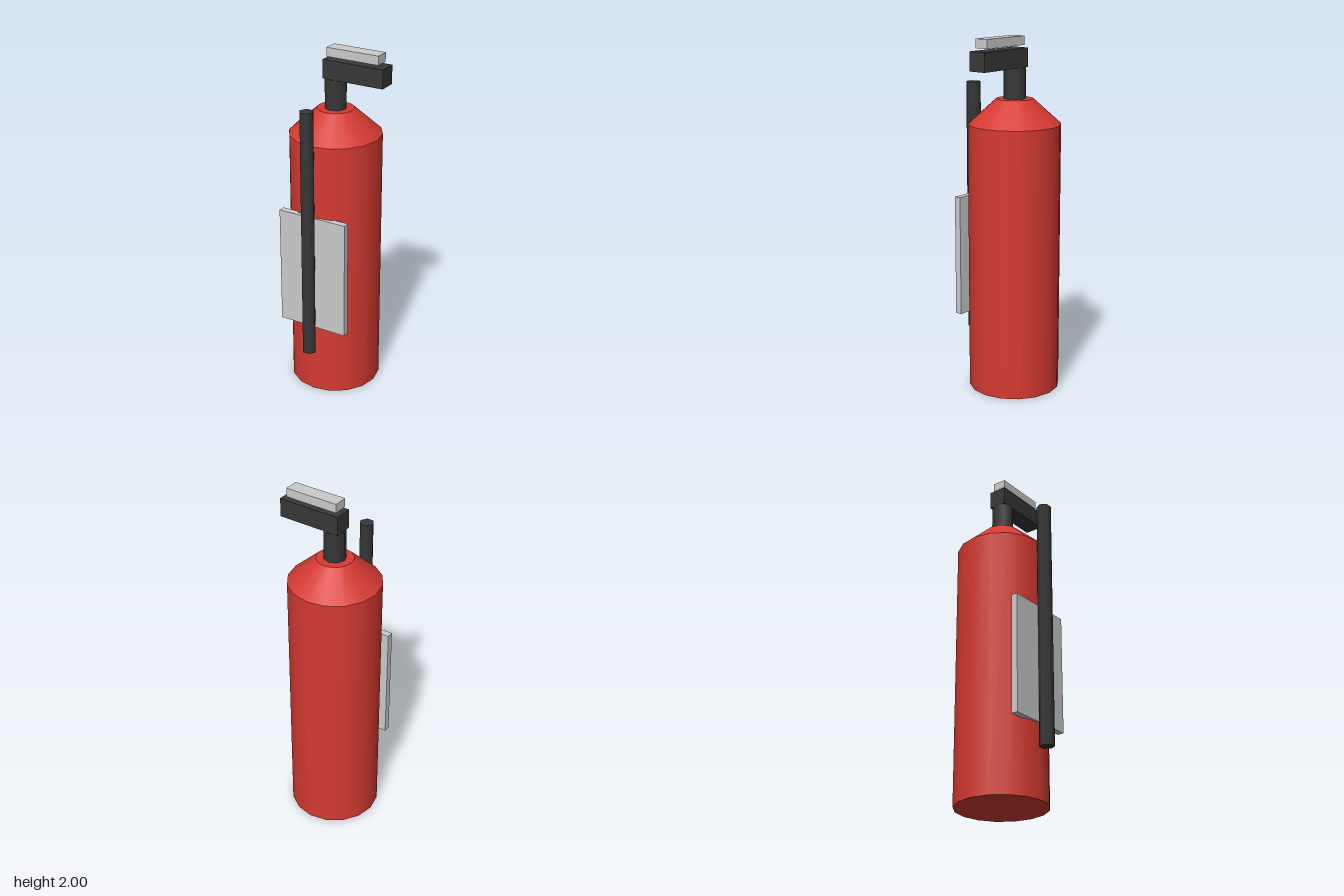
import * as THREE from 'three';

export function createModel() {
  const model = new THREE.Group();
  const red = new THREE.MeshStandardMaterial({ color: 0xd63a32 });
  const dark = new THREE.MeshStandardMaterial({ color: 0x383838 });
  const grey = new THREE.MeshStandardMaterial({ color: 0xcccccc });

  // Axis of the tank
  const CX = -0.027, CZ = -0.04;

  const add = (name, geometry, material, x, y, z) => {
    const mesh = new THREE.Mesh(geometry, material);
    mesh.name = name;
    mesh.position.set(x, y, z);
    model.add(mesh);
    return mesh;
  };

  // Upright cylinder or cone between two heights
  const column = (name, material, rTop, rBottom, y0, y1, sides, z = CZ) =>
    add(name, new THREE.CylinderGeometry(rTop, rBottom, y1 - y0, sides), material, CX, (y0 + y1) / 2, z);

  // Box given by its extents
  const block = (name, material, [x0, x1], [y0, y1], [z0, z1]) =>
    add(name, new THREE.BoxGeometry(x1 - x0, y1 - y0, z1 - z0), material,
      (x0 + x1) / 2, (y0 + y1) / 2, (z0 + z1) / 2);

  // Tank, sloping shoulder and valve neck
  column('tank', red, 0.258, 0.258, 0, 1.52, 16);
  column('shoulder', red, 0.103, 0.258, 1.52, 1.66, 16);
  column('valveNeck', dark, 0.061, 0.061, 1.66, 1.83, 8);

  // Carrying handle with the squeeze lever above it
  block('handle', dark, [-0.078, 0.284], [1.83, 1.935], [-0.092, 0.012]);
  block('lever', grey, [-0.061, 0.25], [1.95, 2.0], [-0.081, 0]);

  // Hexagonal hose, flat sides to front and back
  column('hose', dark, 0.041, 0.041, 0.28, 1.73, 6, 0.26).rotation.y = Math.PI / 6;

  // Plain label plate on the front
  block('label', grey, [-0.233, 0.18], [0.42, 1.105], [0.184, 0.222]);

  return model;
}
